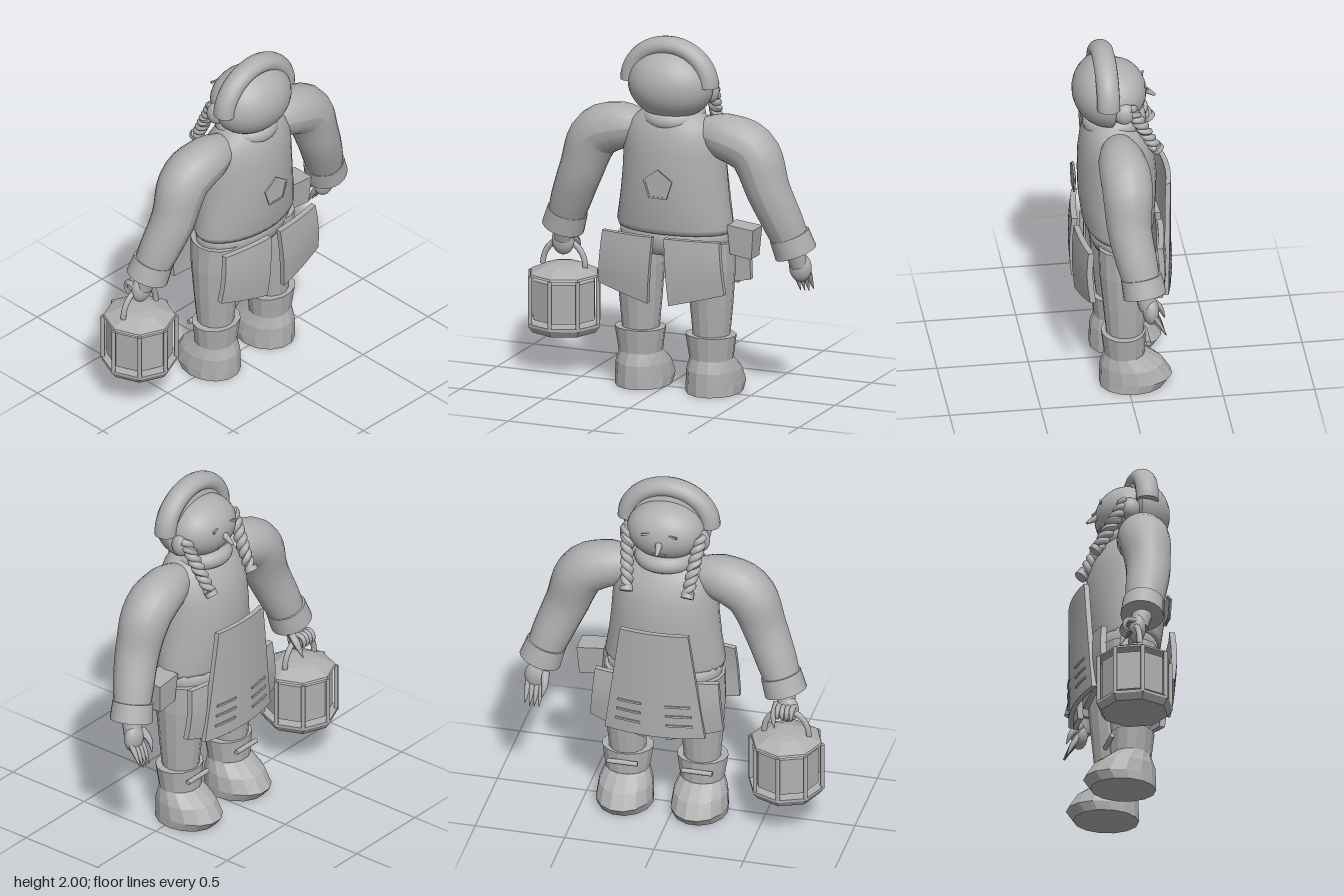
import * as THREE from 'three';

const grey = new THREE.MeshStandardMaterial({ color: 0xb0b0b0 });
grey.name = 'plain grey';
const V = (x, y, z) => new THREE.Vector3(x, y, z);

function add(parent, name, geo, x = 0, y = 0, z = 0) {
  const m = new THREE.Mesh(geo, grey);
  m.name = name;
  m.position.set(x, y, z);
  parent.add(m);
  return m;
}

// Stacked elliptical rings: [y, rx, rz, cz]
function loft(rings, n, flat) {
  const pos = [], idx = [];
  for (const [y, rx, rz, cz] of rings)
    for (let j = 0; j < n; j++) {
      const a = (j / n) * Math.PI * 2;
      pos.push(Math.cos(a) * rx, y, cz + Math.sin(a) * rz);
    }
  for (let i = 0; i < rings.length - 1; i++)
    for (let j = 0; j < n; j++) {
      const a = i * n + j, b = i * n + (j + 1) % n, c = a + n, d = b + n;
      idx.push(a, c, b, b, c, d);
    }
  const top = (rings.length - 1) * n, c0 = rings.length * n;
  for (const r of [rings[0], rings[rings.length - 1]]) pos.push(0, r[0], r[3]);
  for (let j = 0; j < n; j++) {
    const k = (j + 1) % n;
    idx.push(c0, j, k, c0 + 1, top + k, top + j);
  }
  let g = new THREE.BufferGeometry();
  g.setAttribute('position', new THREE.Float32BufferAttribute(pos, 3));
  g.setIndex(idx);
  if (flat) g = g.toNonIndexed();
  g.computeVertexNormals();
  return g;
}

// Tube whose radius follows a list of evenly spaced values
function taperTube(pts, radii, seg = 16, sides = 16) {
  const curve = new THREE.CatmullRomCurve3(pts);
  const g = new THREE.TubeGeometry(curve, seg, 1, sides);
  const p = g.attributes.position, v = V(0, 0, 0);
  for (let i = 0; i <= seg; i++) {
    const c = curve.getPointAt(i / seg), f = (i / seg) * (radii.length - 1);
    const k = Math.min(Math.floor(f), radii.length - 2);
    const r = THREE.MathUtils.lerp(radii[k], radii[k + 1], f - k);
    for (let j = 0; j <= sides; j++) {
      const n = i * (sides + 1) + j;
      v.fromBufferAttribute(p, n).sub(c).multiplyScalar(r).add(c);
      p.setXYZ(n, v.x, v.y, v.z);
    }
  }
  g.computeVertexNormals();
  return g;
}

// Cylinder running from a to b
function rod(parent, name, a, b, r0, r1 = r0, sides = 16) {
  const d = b.clone().sub(a);
  const m = add(parent, name, new THREE.CylinderGeometry(r1, r0, d.length(), sides));
  m.position.copy(a).add(b).multiplyScalar(0.5);
  m.quaternion.setFromUnitVectors(V(0, 1, 0), d.normalize());
  return m;
}

function ball(parent, name, x, y, z, rx, ry, rz) {
  const m = add(parent, name, new THREE.SphereGeometry(1, 32, 20), x, y, z);
  m.scale.set(rx, ry, rz);
  return m;
}

function reshape(g, rule) {
  const p = g.attributes.position;
  for (let i = 0; i < p.count; i++) p.setXYZ(i, ...rule(p.getX(i), p.getY(i), p.getZ(i)));
  g.computeVertexNormals();
  return g;
}

// Hanging coat panel; s = side, f = back (+1) or front (-1)
function coatPanel(s, f, base) {
  return reshape(new THREE.BoxGeometry(1, 1, 0.032, 8, 6, 1), (x, y, z) => {
    const u = s * x, o = 0.19 + u * 0.31 + (0.5 - y) * 0.028;
    const puff = 0.012 * Math.sin((0.5 - y) * Math.PI);
    return [s * o, 0.905 - (0.5 - y) * (0.335 - u * 0.08), f * (base - 0.33 * o * o + puff) + z];
  });
}

function pentagon(r) {
  return Array.from({ length: 5 }, (_, i) => {
    const a = Math.PI / 2 + (i * Math.PI * 2) / 5;
    return new THREE.Vector2(Math.cos(a) * r, Math.sin(a) * r);
  });
}

function buildLantern() {
  const g = new THREE.Group();
  g.name = 'lantern';
  add(g, 'lanternBase', loft([[0.23, 0.185, 0.185, 0], [0.265, 0.21, 0.21, 0], [0.28, 0.21, 0.21, 0]], 8, true));
  add(g, 'lanternGlass', loft([[0.3, 0.18, 0.18, 0], [0.52, 0.18, 0.18, 0]], 8, true));
  add(g, 'lanternRoof', loft([[0.543, 0.2, 0.2, 0], [0.555, 0.195, 0.195, 0], [0.595, 0.11, 0.11, 0], [0.605, 0.06, 0.06, 0]], 8, true));
  for (let i = 0; i < 8; i++) {
    const a = (i * Math.PI) / 4;
    add(g, 'lanternBar', new THREE.CylinderGeometry(0.012, 0.012, 0.28, 8), Math.cos(a) * 0.2, 0.405, Math.sin(a) * 0.2);
  }
  add(g, 'lanternHandle', new THREE.TorusGeometry(0.125, 0.016, 10, 24, Math.PI), 0, 0.59, 0).scale.y = 1.15;
  return g;
}

export function createModel() {
  const root = new THREE.Group();
  root.name = 'figure';
  const body = new THREE.Group();
  body.name = 'body';
  body.position.x = 0.065;
  root.add(body);

  // Coat, waist and collar
  add(body, 'coat', loft([[0.91, 0.325, 0.185, 0.02], [0.94, 0.335, 0.195, 0.02], [1.08, 0.312, 0.21, 0.025],
    [1.22, 0.298, 0.215, 0.025], [1.36, 0.29, 0.207, 0.03], [1.45, 0.275, 0.185, 0.04], [1.52, 0.24, 0.155, 0.05],
    [1.58, 0.16, 0.115, 0.06], [1.6, 0.08, 0.07, 0.06]], 32));
  add(body, 'hips', loft([[0.78, 0.25, 0.15, 0.01], [0.83, 0.31, 0.17, 0.01], [0.935, 0.33, 0.185, 0.015]], 24));
  const collar = add(body, 'collar', new THREE.TorusGeometry(0.125, 0.05, 16, 32), 0, 1.55, 0.04);
  collar.rotation.x = Math.PI / 2 + 0.1;
  add(body, 'neck', new THREE.CylinderGeometry(0.11, 0.13, 0.14, 24), 0, 1.58, 0.04);

  // Head, hair and fur band
  ball(body, 'face', 0, 1.725, 0.03, 0.215, 0.165, 0.165);
  add(body, 'hair', reshape(new THREE.SphereGeometry(1, 32, 24), (x, y, z) =>
    [x * 0.246, 1.735 + y * 0.2, 0.07 + z * (z > 0 ? 0.2 : 0.04)]));
  const band = add(body, 'furBand', new THREE.TorusGeometry(0.23, 0.056, 16, 40, Math.PI), 0, 1.74, 0.1);
  band.scale.set(1, 0.91, 1.12);
  for (const s of [-1, 1]) {
    const end = add(body, 'furBandEnd', new THREE.CircleGeometry(0.056, 16), s * 0.23, 1.74, 0.1);
    end.rotation.x = Math.PI / 2;
    end.scale.set(1, 1.12, 1);
    const eye = add(body, 'eye', new THREE.BoxGeometry(0.06, 0.012, 0.009), s * 0.07, 1.77, -0.124);
    eye.rotation.y = s * 0.25;
  }
  rod(body, 'nose', V(0, 1.715, -0.125), V(0, 1.675, -0.185), 0.022, 0.008, 8);
  add(body, 'mouth', new THREE.BoxGeometry(0.07, 0.01, 0.009), 0, 1.645, -0.115);

  // Apron with pocket stripes
  const drape = (x, y, z) => {
    const w = 1 - 0.32 * ((y - 0.57) / 0.65);
    return [x * w, y, z - 0.25 + 0.55 * x * x * w * w];
  };
  add(body, 'apron', reshape(new THREE.BoxGeometry(0.56, 0.65, 0.028, 12, 4, 1).translate(0, 0.895, 0), drape));
  for (const s of [-1, 1])
    for (let i = 0; i < 3; i++)
      add(body, 'apronStripe', reshape(new THREE.BoxGeometry(0.15, 0.012, 0.012, 6, 1, 1)
        .translate(s * 0.15, 0.65 + i * 0.06, -0.015), drape));

  // Back badge: framed pentagon
  const ring = new THREE.Shape(pentagon(0.09));
  ring.holes.push(new THREE.Path(pentagon(0.078)));
  const badge = { depth: 0.009, bevelEnabled: false };
  add(body, 'badgeFrame', new THREE.ExtrudeGeometry(ring, badge), 0, 1.2, 0.261);
  add(body, 'badge', new THREE.ExtrudeGeometry(new THREE.Shape(pentagon(0.079)), badge), 0, 1.2, 0.257);

  // Hip pouch
  add(body, 'pouch', reshape(new THREE.BoxGeometry(0.14, 0.165, 0.12), (x, y, z) =>
    [0.4 + x * (1 + y * 1.2), 0.873 + y - x * 0.12, z * (1 + y)]));

  for (const s of [-1, 1]) {
    const P = (x, y, z) => V(s * x, y, z);

    // Coat panels
    add(body, 'backPanel', coatPanel(s, 1, 0.25));
    add(body, 'frontPanel', coatPanel(s, -1, 0.205));

    // Braids
    rod(body, 'braidTip', P(0.172, 1.45, -0.165), P(0.17, 1.428, -0.182), 0.036, 0.036, 12);
    ball(body, 'earBun', s * 0.205, 1.69, 0.01, 0.045, 0.062, 0.055);
    for (const phase of [0, Math.PI]) {
      const pts = [];
      for (let i = 0; i <= 32; i++) {
        const t = i / 32, a = t * Math.PI * 7 + phase, o = 0.018;
        pts.push(P(0.205 - 0.035 * t + Math.cos(a) * o, 1.73 - 0.285 * t + Math.sin(a) * o * 0.47,
          -0.015 - 0.15 * t + Math.sin(a) * o * -0.88));
      }
      add(body, 'braidStrand', taperTube(pts, [0.021, 0.021, 0.018], 64, 8));
    }

    // Arms
    add(body, 'sleeve', taperTube([P(0.16, 1.47, 0.045), P(0.3, 1.455, 0.04), P(0.46, 1.39, 0.03), P(0.555, 1.17, 0.03),
      P(0.625, 1.0, 0), P(0.67, 0.88, -0.025)], [0.08, 0.125, 0.14, 0.138, 0.125, 0.118, 0.112, 0.1], 20, 20));
    rod(body, 'cuff', P(0.655, 0.925, -0.02), P(0.688, 0.825, -0.035), 0.112, 0.118, 20);
    rod(body, 'wrist', P(0.68, 0.84, -0.03), P(0.698, 0.75, -0.055), 0.055, 0.05);
    ball(body, 'palm', s * 0.702, 0.735, -0.065, 0.064, 0.08, 0.045);
    for (let i = 0; i < 4; i++) {
      const x = 0.665 + i * 0.026;
      const path = s > 0
        ? [P(x, 0.71, -0.08), P(x, 0.65, -0.115), P(x + 0.003, 0.585 + (i === 3 ? 0.015 : 0), -0.145)]
        : [P(x, 0.76, -0.06), P(x, 0.765, -0.13), P(x, 0.72, -0.145), P(x, 0.69, -0.1)];
      add(body, 'finger', taperTube(path, [0.017, 0.016, 0.01, 0.002], 10, 8));
    }
    add(body, 'thumb', taperTube([P(0.65, 0.77, -0.07), P(0.64, 0.71, -0.125), P(0.65, 0.65, -0.15)],
      [0.024, 0.022, 0.014, 0.002], 10, 8));

    // Legs and boots
    const leg = new THREE.Group();
    leg.name = s > 0 ? 'leftLeg' : 'rightLeg';
    leg.position.x = s * 0.209;
    body.add(leg);
    add(leg, 'trouserLeg', loft([[0.3, 0.1, 0.1, 0.01], [0.5, 0.118, 0.12, 0.01], [0.7, 0.13, 0.14, 0.01],
      [0.86, 0.125, 0.145, 0.01]], 14, true));
    add(leg, 'boot', loft([[0, 0.153, 0.18, -0.03], [0.05, 0.157, 0.2, -0.05], [0.13, 0.148, 0.173, -0.027],
      [0.2, 0.122, 0.112, 0.01]], 14, true));
    add(leg, 'bootCuff', loft([[0.195, 0.122, 0.112, 0.012], [0.33, 0.143, 0.122, 0.018]], 14, true));
    rod(leg, 'bootToggle', V(-0.085, 0.28, -0.11), V(0.085, 0.28, -0.11), 0.014, 0.014, 10);
  }

  // Lantern in the right hand
  const lantern = buildLantern();
  lantern.position.set(-0.637, 0, -0.08);
  root.add(lantern);
  return root;
}
